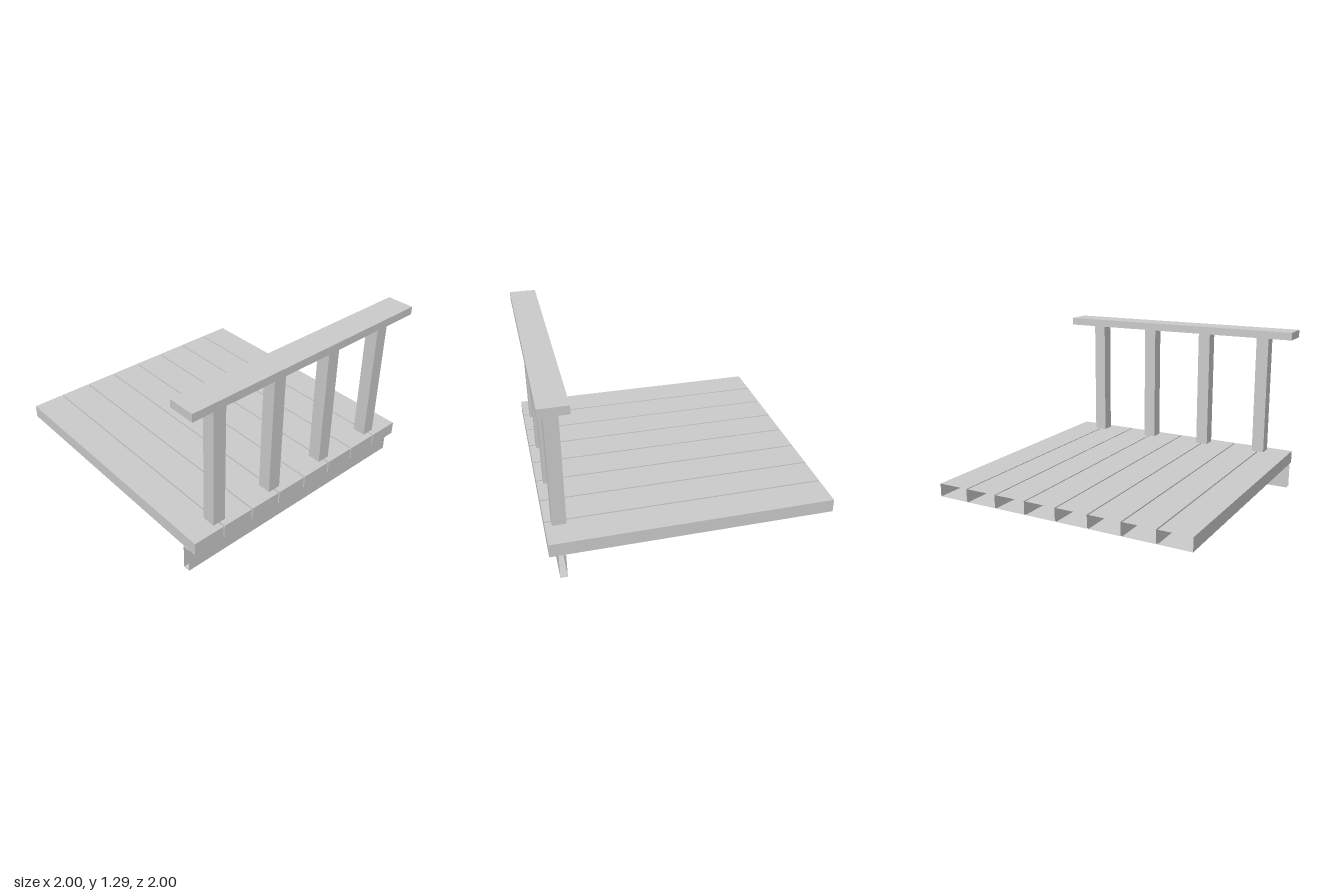
import * as THREE from 'three';

const material = new THREE.MeshStandardMaterial({ color: 0xcccccc, side: THREE.DoubleSide });

// Box given by its limits; `open` lists the sides left out
// (0 +x, 1 -x, 2 +y, 3 -y, 4 +z, 5 -z).
function board(name, [x0, x1], [y0, y1], [z0, z1], open = []) {
  const geometry = new THREE.BoxGeometry(x1 - x0, y1 - y0, z1 - z0);
  const index = Array.from(geometry.index.array);
  geometry.setIndex(index.filter((_, i) => !open.includes(Math.floor(i / 6))));
  geometry.clearGroups();
  const mesh = new THREE.Mesh(geometry, material);
  mesh.name = name;
  mesh.position.set((x0 + x1) / 2, (y0 + y1) / 2, (z0 + z1) / 2);
  return mesh;
}

export function createModel() {
  const model = new THREE.Group();
  model.name = 'deckWithRailing';

  // Eight floor planks with narrow gaps, hollow at the back end
  const planks = new THREE.Group();
  planks.name = 'floorPlanks';
  for (let i = 0; i < 8; i++) {
    const x = -0.875 + i * 0.25;
    planks.add(board('plank', [x - 0.12, x + 0.12], [0.185, 0.283], [-1, 1], [5]));
  }
  model.add(planks);

  // Support beam under the front edge, hollow at both ends
  model.add(board('supportBeam', [-1, 1], [0, 0.185], [0.89, 0.94], [0, 1]));

  // Railing posts, sunk slightly into the planks
  const posts = new THREE.Group();
  posts.name = 'railingPosts';
  for (const x of [-0.75, -0.25, 0.25, 0.75]) {
    posts.add(board('post', [x - 0.049, x + 0.049], [0.26, 1.227], [0.853, 0.951]));
  }
  model.add(posts);

  // Flat handrail
  model.add(board('handrail', [-1, 1], [1.227, 1.286], [0.8, 1]));

  return model;
}
